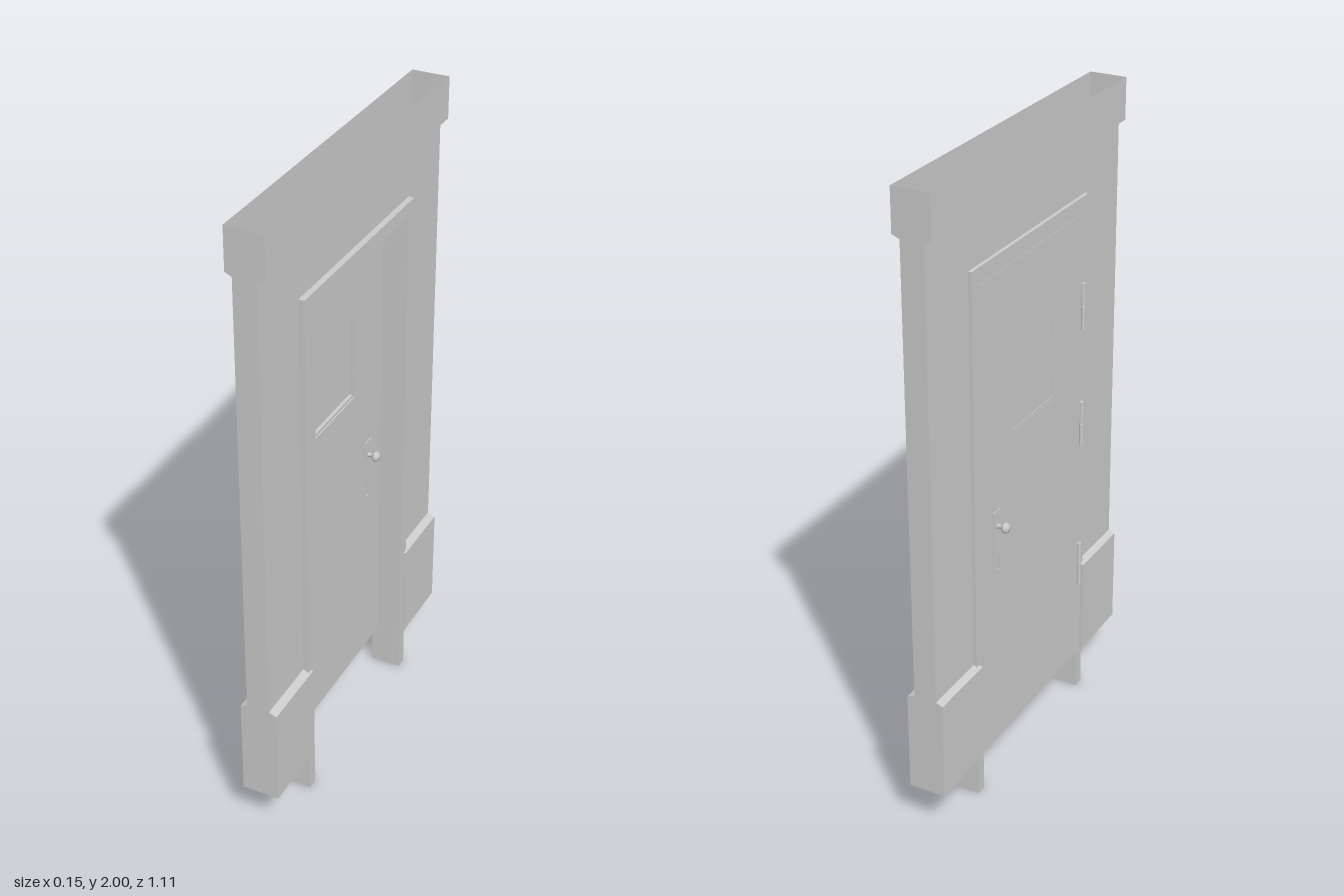
import * as THREE from 'three';

const material = new THREE.MeshStandardMaterial({ color: 0xcccccc });
const openMaterial = new THREE.MeshStandardMaterial({ color: 0xcccccc, side: THREE.DoubleSide });

const END = 0.557;                    // half the wall's length along z
const BOTTOM = 0.14, TOP = 2;         // wall shell
const WALL_X = { '-1': -0.021, '1': 0.051 };
const TRIM_X = { '-1': -0.042, '1': 0.075 };
const JAMB_OUT = 0.342, JAMB_IN = 0.308, HEAD_OUT = 1.71, HEAD_IN = 1.66;
const LEAF = { x0: -0.033, x1: -0.012 };
const LOCK_Z = -0.218;

function add(parent, name, geometry, mat = material) {
  const mesh = new THREE.Mesh(geometry, mat);
  mesh.name = name;
  parent.add(mesh);
  return mesh;
}

function box(parent, name, x0, x1, y0, y1, z0, z1) {
  const mesh = add(parent, name, new THREE.BoxGeometry(x1 - x0, y1 - y0, z1 - z0));
  mesh.position.set((x0 + x1) / 2, (y0 + y1) / 2, (z0 + z1) / 2);
  return mesh;
}

const rectPoints = (z0, z1, y0, y1) =>
  [[z0, y0], [z1, y0], [z1, y1], [z0, y1]].map(([z, y]) => new THREE.Vector2(z, y));

// Extrude a (z, y) outline with holes between two x positions
function panel(points, holes, x0, x1) {
  const shape = new THREE.Shape(points);
  for (const h of holes) shape.holes.push(new THREE.Path(h));
  return new THREE.ExtrudeGeometry(shape, { depth: x1 - x0, bevelEnabled: false })
    .rotateY(-Math.PI / 2).translate(x1, 0, 0);
}

// Sweep an open (x, y) profile, listed upward, along z; side gives the outward x
function strip(profile, z0, z1, side) {
  const [a, b] = side > 0 ? [z0, z1] : [z1, z0];
  const pos = [];
  for (let i = 0; i < profile.length - 1; i++) {
    const [x0, y0] = profile[i], [x1, y1] = profile[i + 1];
    pos.push(x0, y0, a, x1, y1, a, x0, y0, b, x0, y0, b, x1, y1, a, x1, y1, b);
  }
  const g = new THREE.BufferGeometry();
  g.setAttribute('position', new THREE.Float32BufferAttribute(pos, 3));
  g.computeVertexNormals();
  return g;
}

function buildWall() {
  const wall = new THREE.Group();
  wall.name = 'wall';
  const base = s => [[TRIM_X[s], BOTTOM], [TRIM_X[s], 0.457], [WALL_X[s], 0.467]];
  const cornice = s => [[WALL_X[s], 1.861], [TRIM_X[s], 1.871], [TRIM_X[s], TOP]];

  for (const s of [-1, 1]) {
    add(wall, 'wallAboveDoor',
      strip([[WALL_X[s], HEAD_OUT], [WALL_X[s], 1.861]], -END, END, s), openMaterial);
    add(wall, 'cornice', strip(cornice(s), -END, END, s), openMaterial);
    for (const e of [-1, 1]) {
      const span = (inner) => (e > 0 ? [inner, END] : [-END, -inner]);
      add(wall, 'wallBesideDoor',
        strip([[WALL_X[s], 0.467], [WALL_X[s], HEAD_OUT]], ...span(JAMB_OUT), s), openMaterial);
      add(wall, 'baseBoard', strip(base(s), ...span(0.327), s), openMaterial);
      // Return of the base board against the door frame
      const outline = [...base(s), [WALL_X[s], BOTTOM]].map(p => new THREE.Vector2(...p));
      add(wall, 'baseReturn', new THREE.ShapeGeometry(new THREE.Shape(outline)), openMaterial)
        .position.z = e * 0.327;
    }
  }

  // Closed ends; the shell stays open at top and bottom
  const endOutline = [...base(1), ...cornice(1), ...cornice(-1).reverse(), ...base(-1).reverse()]
    .map(p => new THREE.Vector2(...p));
  for (const e of [-1, 1]) {
    const cap = add(wall, 'wallEnd', new THREE.ShapeGeometry(new THREE.Shape(endOutline)), openMaterial);
    cap.position.z = e * END;
  }
  return wall;
}

function buildFrame() {
  const outline = [
    [-JAMB_OUT, 0], [-JAMB_IN, 0], [-JAMB_IN, HEAD_IN], [JAMB_IN, HEAD_IN],
    [JAMB_IN, 0], [JAMB_OUT, 0], [JAMB_OUT, HEAD_OUT], [-JAMB_OUT, HEAD_OUT],
  ].map(p => new THREE.Vector2(...p));
  const frame = new THREE.Mesh(panel(outline, [], -0.032, 0.069), material);
  frame.name = 'doorFrame';
  return frame;
}

function buildDoor() {
  const door = new THREE.Group();
  door.name = 'door';
  const keyhole = rectPoints(-0.219, -0.207, 0.73, 0.778);
  const opening = rectPoints(-0.127, 0.13, 1.137, 1.413);
  const glass = rectPoints(-0.12, 0.123, 1.146, 1.404);

  add(door, 'doorLeaf',
    panel(rectPoints(-JAMB_IN, JAMB_IN, 0.135, HEAD_IN), [opening, keyhole], LEAF.x0, LEAF.x1));
  add(door, 'windowBead', panel(opening, [glass], LEAF.x0 + 0.001, LEAF.x1 - 0.004));
  box(door, 'windowPane', -0.03, -0.027, 1.14, 1.41, -0.125, 0.128);

  // Lock plate and knob on both faces
  const profile = [[0, -0.002], [0.011, -0.002], [0.007, 0.006], [0.006, 0.016], [0.011, 0.019], [0.0165, 0.026],
    [0.0165, 0.032], [0.012, 0.039], [0, 0.042]].map(p => new THREE.Vector2(...p));
  for (const s of [-1, 1]) {
    const face = s > 0 ? LEAF.x1 : LEAF.x0;
    const plateX = [face, face + s * 0.003].sort((a, b) => a - b);
    add(door, 'lockPlate', panel(rectPoints(-0.241, -0.198, 0.68, 0.93), [keyhole], ...plateX));
    const knob = add(door, 'knob', new THREE.LatheGeometry(profile, 16));
    knob.rotation.z = -s * Math.PI / 2;
    knob.position.set(face, 0.88, LOCK_Z);
  }

  // Three hinges on the flush face
  for (const y of [1.367, 0.975, 0.475]) {
    const hinge = new THREE.Group();
    hinge.name = 'hinge';
    for (const half of [-1, 1]) {
      const knuckle = add(hinge, 'hingeKnuckle', new THREE.CylinderGeometry(0.007, 0.007, 0.074, 10));
      knuckle.position.set(-0.037, y + half * 0.038, JAMB_IN);
      const z0 = half > 0 ? JAMB_IN - 0.012 : JAMB_IN;
      box(hinge, 'hingePlate', -0.035, -0.031, y + half * 0.038 - 0.037, y + half * 0.038 + 0.037, z0, z0 + 0.012);
    }
    door.add(hinge);
  }
  return door;
}

export function createModel() {
  const model = new THREE.Group();
  model.name = 'doorInWall';
  model.add(buildWall(), buildFrame(), buildDoor());
  return model;
}
